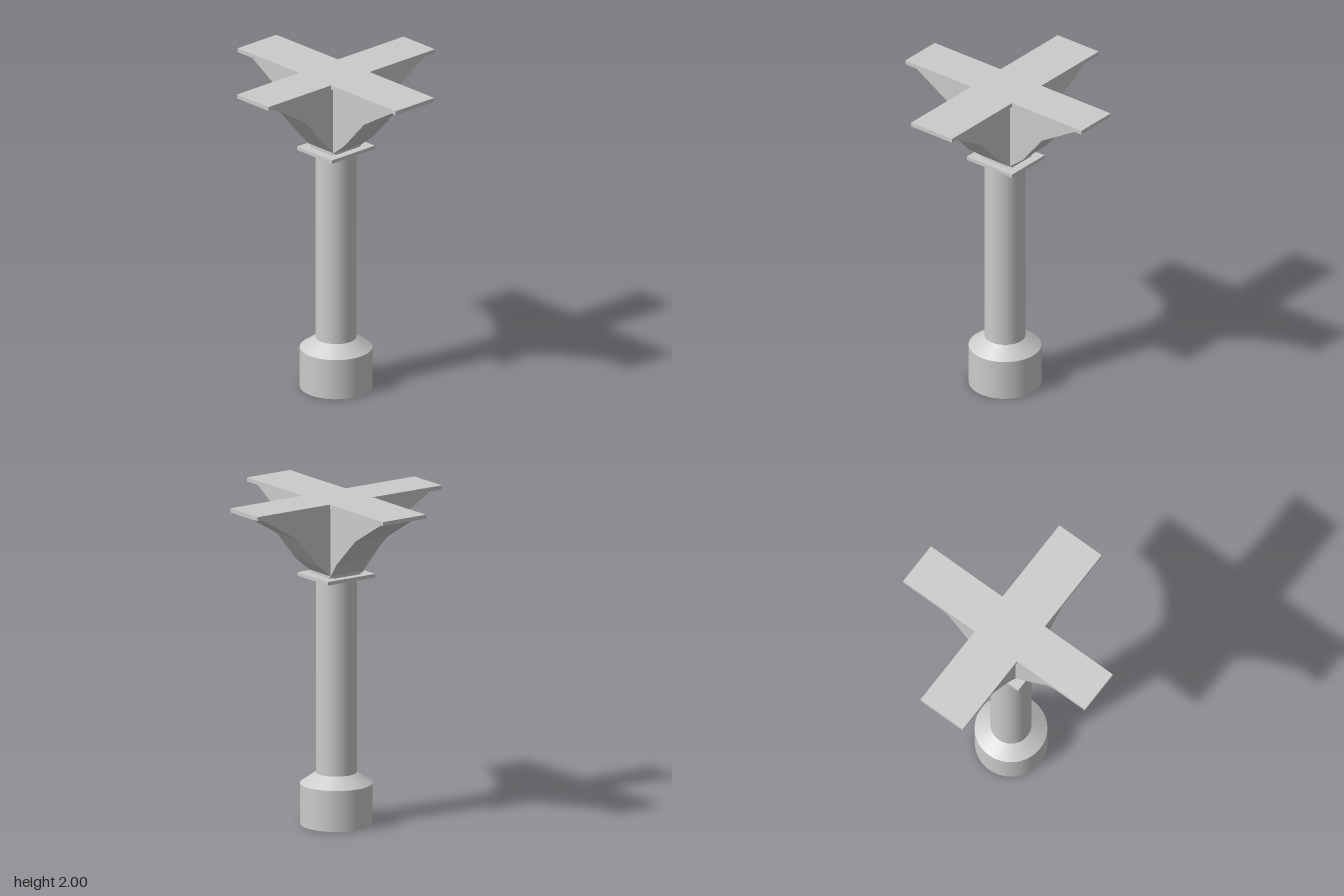
import * as THREE from 'three';

const material = new THREE.MeshStandardMaterial({ color: 0xcccccc, side: THREE.DoubleSide });
const AXIS_X = -0.012; // the shaft stands slightly off the middle of the slab

function add(group, name, geometry, x = 0, y = 0, z = 0) {
  const mesh = new THREE.Mesh(geometry, material);
  mesh.name = name;
  mesh.position.set(x, y, z);
  group.add(mesh);
  return mesh;
}

const shapeOf = (points) => new THREE.Shape(points.map(([x, y]) => new THREE.Vector2(x, y)));
const extrude = (points, depth) =>
  new THREE.ExtrudeGeometry(shapeOf(points), { depth, bevelEnabled: false });

export function createModel() {
  const group = new THREE.Group();

  // Round, open-ended pedestal, shoulder and shaft: [name, bottom y, top y, bottom r, top r]
  const rounds = [
    ['base', 0, 0.25, 0.216, 0.216],
    ['baseShoulder', 0.25, 0.315, 0.216, 0.122],
    ['shaft', 0.315, 1.51, 0.122, 0.122],
  ];
  for (const [name, y0, y1, r0, r1] of rounds) {
    add(group, name, new THREE.CylinderGeometry(r1, r0, y1 - y0, 48, 1, true), AXIS_X, (y0 + y1) / 2, 0);
  }

  // Square plate on top of the shaft
  add(group, 'collarPlate', new THREE.BoxGeometry(0.347, 0.022, 0.305), -0.01, 1.52, -0.004);

  // Two crossing brackets that flare up to the slab
  const acrossProfile = [
    [-0.64, 1.976], [-0.36, 1.81], [-0.2, 1.625], [-0.125, 1.545], [-0.105, 1.531],
    [0.085, 1.531], [0.105, 1.545], [0.21, 1.63], [0.355, 1.81], [0.635, 1.976],
  ];
  add(group, 'bracketAcross', extrude(acrossProfile, 0.212), 0, 0, -0.112);

  // Profile runs along z, so it is turned about y (profile x becomes -z)
  const alongProfile = [
    [-0.65, 1.976], [-0.37, 1.81], [-0.195, 1.62], [-0.1, 1.545], [-0.08, 1.531],
    [0.09, 1.531], [0.11, 1.545], [0.17, 1.63], [0.36, 1.81], [0.645, 1.976],
  ];
  add(group, 'bracketAlong', extrude(alongProfile, 0.24), -0.13, 0, 0).rotation.y = Math.PI / 2;

  // Cross-shaped top slab, drawn in x and -z and laid flat
  const [l, r, f, b, ex, ez] = [-0.17, 0.144, -0.124, 0.151, 0.675, 0.687];
  const cross = [
    [l, -ez], [r, -ez], [r, f], [ex, f], [ex, b], [r, b],
    [r, ez], [l, ez], [l, b], [-ex, b], [-ex, f], [l, f],
  ];
  add(group, 'crossSlab', extrude(cross, 0.025), 0, 1.975, 0).rotation.x = -Math.PI / 2;

  return group;
}
